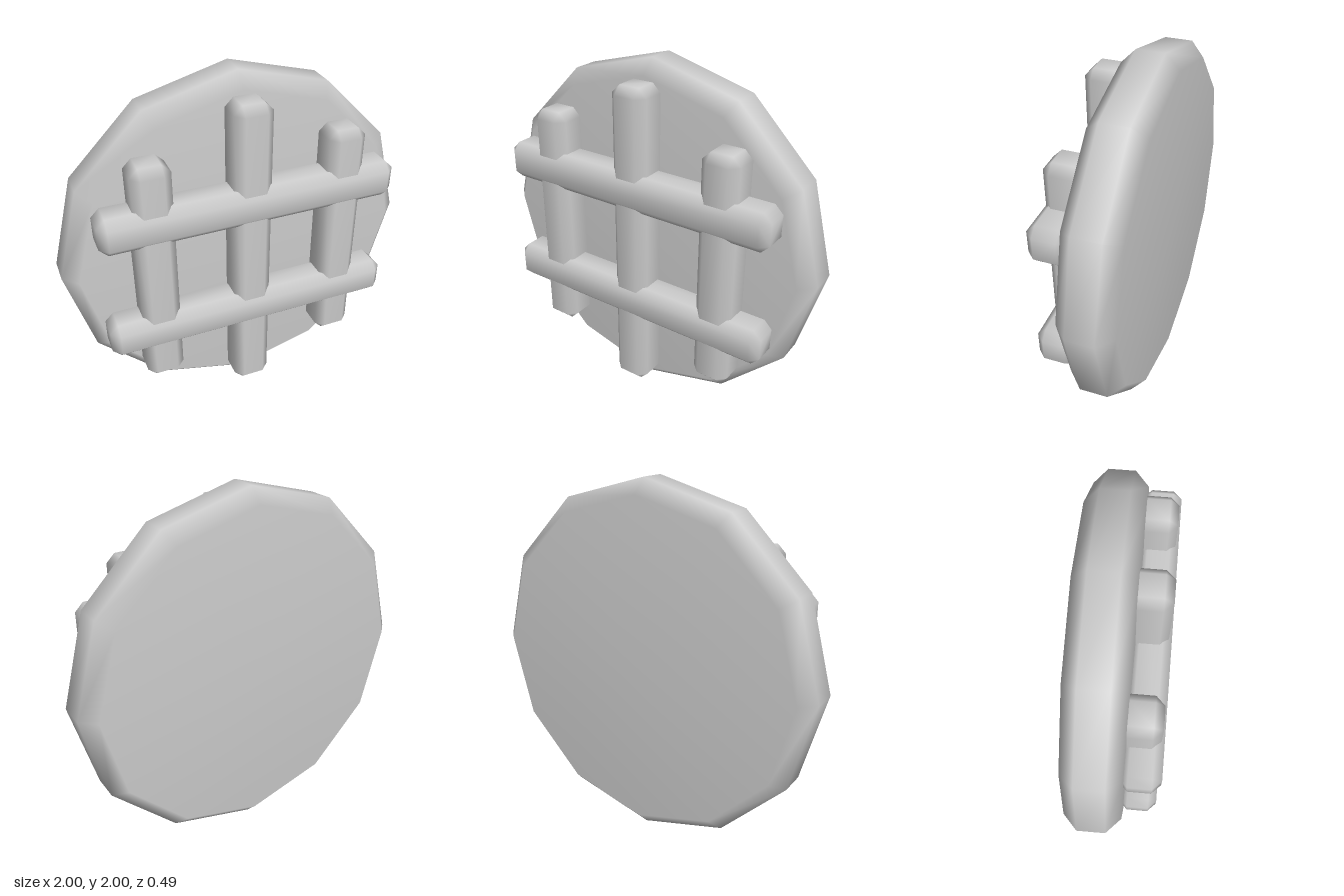
import * as THREE from 'three';
import { ConvexGeometry } from 'three/addons/geometries/ConvexGeometry.js';
import { mergeVertices } from 'three/addons/utils/BufferGeometryUtils.js';

const material = new THREE.MeshStandardMaterial({ color: 0xcccccc });

// Box with every edge chamfered and smooth shading across the chamfers
function chamferedBox(w, h, d, c) {
  const points = [];
  const [x, y, z] = [w / 2, h / 2, d / 2];
  for (const sx of [-1, 1]) for (const sy of [-1, 1]) for (const sz of [-1, 1]) {
    points.push(
      new THREE.Vector3(sx * x, sy * (y - c), sz * (z - c)),
      new THREE.Vector3(sx * (x - c), sy * y, sz * (z - c)),
      new THREE.Vector3(sx * (x - c), sy * (y - c), sz * z)
    );
  }
  const hull = new ConvexGeometry(points);
  hull.deleteAttribute('normal');
  const geometry = mergeVertices(hull);
  geometry.computeVertexNormals();
  return geometry;
}

export function createModel() {
  const group = new THREE.Group();

  function add(name, geometry, x, y, z) {
    const mesh = new THREE.Mesh(geometry, material);
    mesh.name = name;
    mesh.position.set(x, y, z);
    group.add(mesh);
  }

  // Twelve-sided disc with chamfered rims, its axis along z
  const profile = [[0, -0.243], [0.92, -0.243], [1, -0.167], [1, -0.017], [0.92, 0.06], [0, 0.06]]
    .map(([r, y]) => new THREE.Vector2(r, y));
  const disc = new THREE.LatheGeometry(profile, 12);
  disc.rotateX(Math.PI / 2);
  add('disc', disc, 0, 1, 0);

  const thick = 0.21, chamfer = 0.046;

  // Upright bars, the middle one longer
  for (const [name, x, length] of [['leftUpright', 0.53, 1.335], ['middleUpright', 0, 1.79], ['rightUpright', -0.53, 1.335]]) {
    add(name, chamferedBox(thick, length, thick, chamfer), x, 1.003, 0.122);
  }

  // Crossbars, standing slightly proud of the uprights
  for (const [name, y] of [['upperCrossbar', 1.338], ['lowerCrossbar', 0.668]]) {
    add(name, chamferedBox(1.64, thick, thick, chamfer), 0, y, 0.138);
  }

  return group;
}
